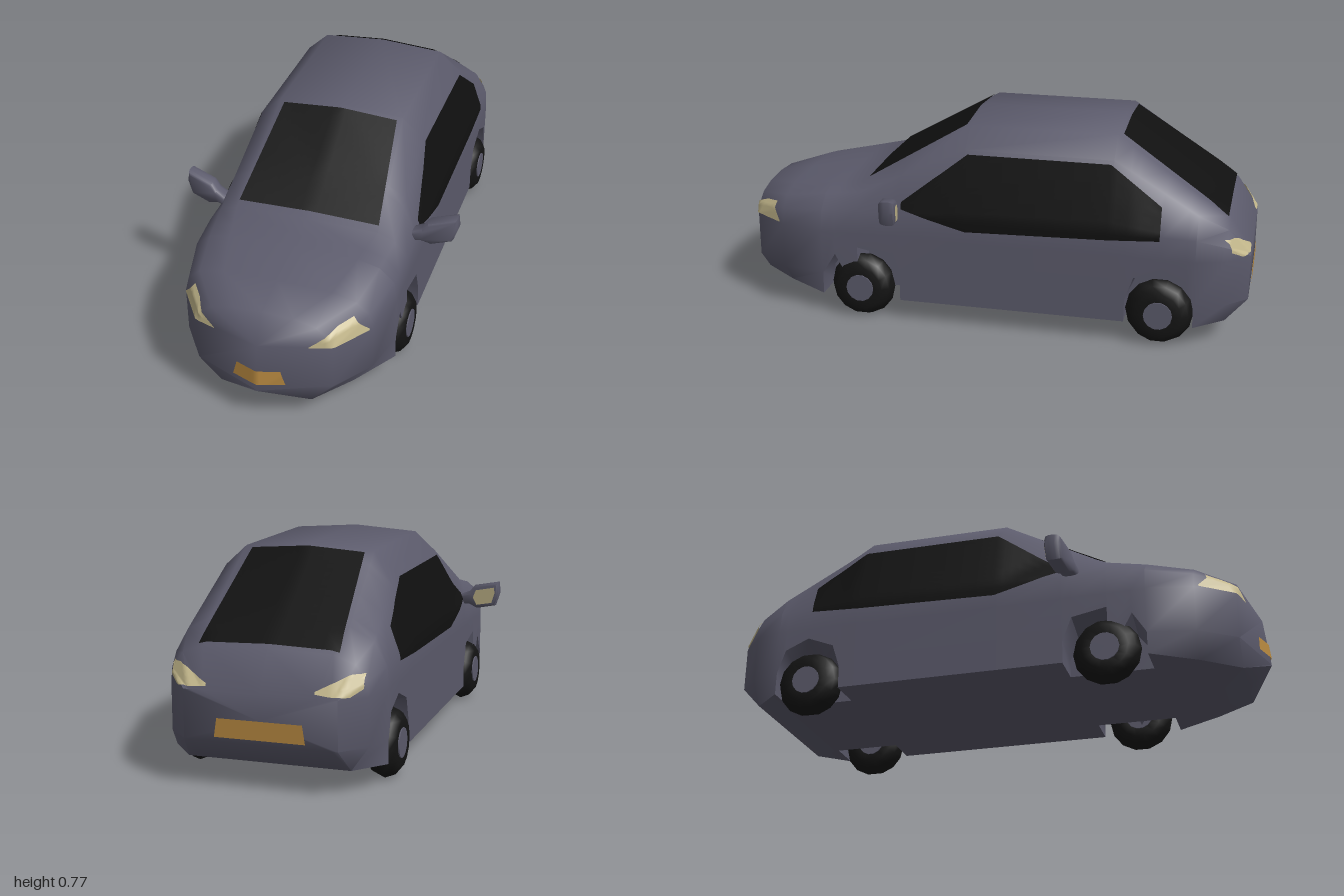
import * as THREE from 'three';
import { toCreasedNormals } from 'three/addons/utils/BufferGeometryUtils.js';

const flat = (name, color, side = THREE.FrontSide) => {
  const m = new THREE.MeshStandardMaterial({ color, side });
  m.name = name;
  return m;
};

// Body stations: z, bottom half width, bottom y, half width,
// belt x y, shoulder x y, roof edge x y, centre y
const KEYS = [
  [0.98, 0, 0.155, 0, 0, 0.34, 0, 0.34, 0, 0.34, 0.34],
  [0.91, 0.17, 0.085, 0.25, 0.235, 0.375, 0.19, 0.41, 0.11, 0.43, 0.437],
  [0.77, 0.28, 0.085, 0.35, 0.335, 0.40, 0.29, 0.44, 0.2, 0.46, 0.466],
  [0.601, 0.385, 0.085, 0.385, 0.375, 0.42, 0.32, 0.47, 0.24, 0.49, 0.497],
  [0.46, 0.385, 0.085, 0.385, 0.382, 0.43, 0.335, 0.49, 0.27, 0.515, 0.522],
  [0.05, 0.385, 0.085, 0.385, 0.385, 0.43, 0.32, 0.68, 0.24, 0.753, 0.77],
  [-0.5, 0.385, 0.085, 0.385, 0.385, 0.43, 0.32, 0.68, 0.24, 0.753, 0.77],
  [-0.811, 0.385, 0.085, 0.385, 0.38, 0.42, 0.335, 0.5, 0.25, 0.546, 0.556],
  [-0.92, 0.29, 0.085, 0.35, 0.345, 0.39, 0.305, 0.445, 0.23, 0.473, 0.48],
  [-1.0, 0.27, 0.17, 0.27, 0.27, 0.34, 0.25, 0.34, 0.2, 0.34, 0.34],
];

// Wheel arch outline: z, y
const ARCHES = [
  [0.6, 0.17], [0.55, 0.25], [0.46, 0.285], [0.33, 0.26], [0.295, 0.17], [0.294, 0.085],
  [-0.559, 0.085], [-0.56, 0.17], [-0.59, 0.26], [-0.69, 0.3], [-0.78, 0.26], [-0.81, 0.17],
];

function keyAt(z) {
  let i = 0;
  while (i < KEYS.length - 2 && KEYS[i + 1][0] > z) i++;
  const a = KEYS[i], b = KEYS[i + 1], t = (z - a[0]) / (b[0] - a[0]);
  return a.map((v, k) => v + (b[k] - v) * t);
}

function section([z, archY]) {
  const [, wo, yb, w, x6, y6, x7, y7, x8, y8, y9] = keyAt(z);
  const ya = archY ?? yb, inner = Math.min(0.25, wo);
  const half = [
    [0, yb], [inner, yb], [inner, ya - 0.2 * (ya - yb)], [wo, ya],
    [w, z > 0.97 ? 0.16 : Math.max(0.17, ya)], [w, 0.34], [x6, y6], [x7, y7], [x8, y8], [0, y9],
  ];
  // the lower lip reaches slightly further forward at the nose
  const right = half.map(([x, y], j) => [x, y, z + (z > 0.97 && j < 5 ? 0.02 : 0)]);
  const left = right.slice(1, -1).reverse().map(([x, y, d]) => [-x, y, d]);
  return [...right, ...left];
}

// Loft through the stations, closed at the tail
function bodyGeometry() {
  const stations = [...KEYS.map(k => [k[0]]), ...ARCHES].sort((a, b) => b[0] - a[0]);
  const rings = stations.map(section), n = rings[0].length, index = [];
  for (let i = 0; i < rings.length - 1; i++) {
    for (let j = 0; j < n; j++) {
      const a = i * n + j, b = i * n + (j + 1) % n;
      index.push(a, a + n, b + n, a, b + n, b);
    }
  }
  const last = (rings.length - 1) * n, centre = rings.length * n;
  for (let j = 0; j < n; j++) index.push(centre, last + (j + 1) % n, last + j);
  const g = new THREE.BufferGeometry();
  g.setAttribute('position', new THREE.Float32BufferAttribute([...rings.flat(2), 0, 0.25, -1], 3));
  g.setIndex(index);
  return toCreasedNormals(g, 0.9);
}

// Point at fraction t along a polyline, with equal steps per segment
function along(line, t) {
  const f = t * (line.length - 1), i = Math.min(Math.floor(f), line.length - 2);
  return line[i].map((v, k) => v + (line[i + 1][k] - v) * (f - i));
}

// Thin panel between two outlines, laid onto the body along one direction
function panel(body, top, bottom, place, dir, cols = 18, rows = 12) {
  const ray = new THREE.Raycaster(), pos = [], index = [];
  let p = new THREE.Vector3();
  for (let r = 0; r <= rows; r++) {
    for (let c = 0; c <= cols; c++) {
      const a = along(top, c / cols), b = along(bottom, c / cols), t = r / rows;
      const u = a[0] + (b[0] - a[0]) * t + 1e-4, v = a[1] + (b[1] - a[1]) * t + 1e-4;
      ray.set(new THREE.Vector3(...place(u, v)), dir);
      const hit = ray.intersectObject(body)[0];
      if (hit) p = hit.point.clone().addScaledVector(hit.face.normal, 0.005);
      pos.push(p.x, p.y, p.z);
      if (r < rows && c < cols) {
        const k = r * (cols + 1) + c, d = k + cols + 1;
        index.push(k, d, k + 1, k + 1, d, d + 1);
      }
    }
  }
  const g = new THREE.BufferGeometry();
  g.setAttribute('position', new THREE.Float32BufferAttribute(pos, 3));
  g.setIndex(index);
  g.computeVertexNormals();
  return g;
}

export function createModel() {
  const paint = flat('body paint', 0x5c5b6c);
  const glass = flat('dark glass', 0x101010, THREE.DoubleSide);
  const rubber = flat('tyre rubber', 0x141414);
  const lamp = flat('pale lamp', 0xc4b88c, THREE.DoubleSide);
  const amber = flat('amber plate', 0xb5873f, THREE.DoubleSide);

  const car = new THREE.Group();
  car.name = 'car';
  const add = (name, geometry, material, parent = car) => {
    const m = new THREE.Mesh(geometry, material);
    m.name = name;
    parent.add(m);
    return m;
  };
  const body = add('body', bodyGeometry(), paint);
  body.updateMatrixWorld();

  const down = new THREE.Vector3(0, -1, 0), back = new THREE.Vector3(0, 0, -1), ahead = new THREE.Vector3(0, 0, 1);
  const above = (x, z) => [x, 2, z], before = (x, y) => [x, y, 2], behind = (x, y) => [x, y, -2];

  // Windscreen, rear window and plates
  add('windscreen', panel(body, [[-0.222, 0.065], [0.222, 0.065]], [[-0.267, 0.437], [0.267, 0.437]], above, down), glass);
  add('rearWindow', panel(body, [[-0.21, -0.515], [0.21, -0.515]], [[-0.247, -0.91], [0.247, -0.91]], above, down), glass);
  add('frontPlate', panel(body, [[-0.08, 0.24], [0.08, 0.24]], [[-0.095, 0.185], [0.095, 0.185]], before, back), amber);
  add('rearPlate', panel(body, [[-0.15, 0.25], [0.15, 0.25]], [[-0.16, 0.185], [0.16, 0.185]], behind, ahead), amber);

  // Tyre profile: radius, width
  const tyreProfile = [[0.04, -0.05], [0.085, -0.055], [0.11, -0.036], [0.125, 0], [0.11, 0.036], [0.085, 0.055], [0.04, 0.05]]
    .map(p => new THREE.Vector2(...p));
  const tyre = toCreasedNormals(new THREE.LatheGeometry(tyreProfile, 14).rotateZ(-Math.PI / 2).toNonIndexed(), 0.8);
  const hub = new THREE.CylinderGeometry(0.053, 0.053, 0.112, 14).rotateZ(-Math.PI / 2);

  const mirrorOutline = [
    [0.37, 0.437], [0.402, 0.44], [0.437, 0.426], [0.505, 0.442], [0.52, 0.487],
    [0.517, 0.517], [0.427, 0.497], [0.407, 0.472], [0.37, 0.457],
  ];
  const glassOutline = [[0.437, 0.432], [0.5, 0.446], [0.513, 0.487], [0.51, 0.509], [0.432, 0.491], [0.42, 0.46]];
  const shape = (pts, s) => new THREE.Shape(pts.map(([x, y]) => new THREE.Vector2(x * s, y)));
  // Sweep the mirror back towards its tip
  const sweep = g => {
    const p = g.attributes.position;
    for (let i = 0; i < p.count; i++) p.setZ(i, p.getZ(i) - 0.22 * (Math.abs(p.getX(i)) - 0.385));
    g.computeVertexNormals();
    return g;
  };

  for (const [side, s] of [['left', 1], ['right', -1]]) {
    const mirrored = line => line.map(([x, y]) => [x * s, y]);

    add(side + 'SideWindow', panel(body,
      [[0.285, 0.475], [0.04, 0.665], [-0.49, 0.665], [-0.68, 0.525]],
      [[0.285, 0.45], [0.04, 0.385], [-0.49, 0.4], [-0.68, 0.41]],
      (z, y) => [2 * s, y, z], new THREE.Vector3(-s, 0, 0), 24), glass);

    add(side + 'Headlight', panel(body,
      mirrored([[0.17, 0.343], [0.25, 0.4], [0.29, 0.41], [0.338, 0.35]]),
      mirrored([[0.17, 0.341], [0.25, 0.342], [0.29, 0.343], [0.338, 0.345]]), before, back), lamp);

    add(side + 'TailLight', panel(body,
      mirrored([[0.19, 0.36], [0.24, 0.385], [0.3, 0.415], [0.335, 0.415]]),
      mirrored([[0.19, 0.352], [0.24, 0.347], [0.3, 0.347], [0.335, 0.37]]), behind, ahead), lamp);

    // Door mirror
    const shell = new THREE.ExtrudeGeometry(shape(mirrorOutline, s),
      { depth: 0.02, bevelThickness: 0.02, bevelSize: 0.01, bevelSegments: 2 }).translate(0, 0, 0.315);
    add(side + 'Mirror', toCreasedNormals(sweep(shell), 0.8), paint);
    add(side + 'MirrorGlass', sweep(new THREE.ShapeGeometry(shape(glassOutline, s)).translate(0, 0, 0.292)), lamp);

    // Wheels
    for (const [end, z] of [['Front', 0.45], ['Rear', -0.685]]) {
      const wheel = new THREE.Group();
      wheel.name = side + end + 'Wheel';
      wheel.position.set(0.345 * s, 0.125, z);
      add('tyre', tyre, rubber, wheel);
      add('hub', hub, paint, wheel);
      car.add(wheel);
    }
  }
  return car;
}
